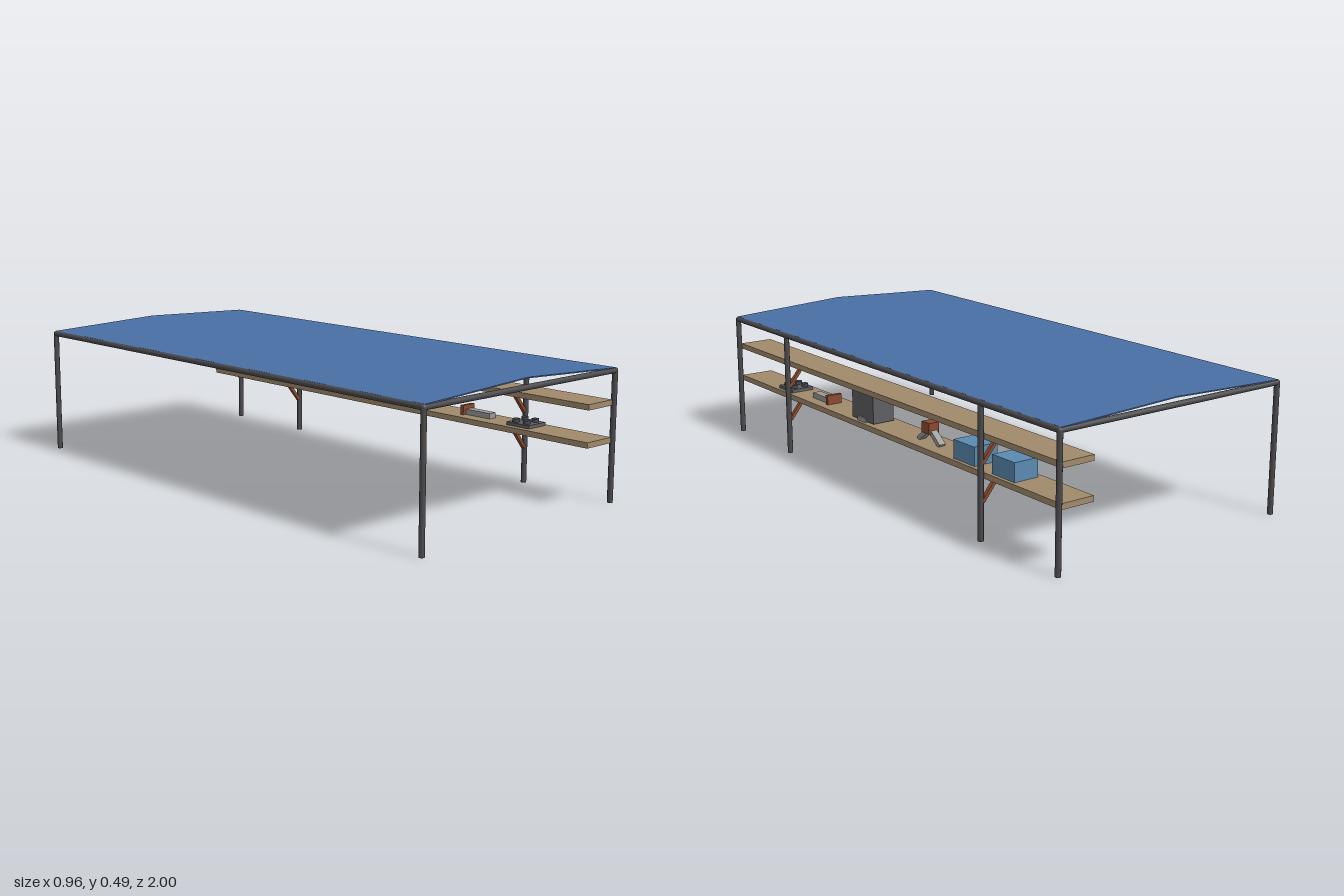
import * as THREE from 'three';

const mat = (name, color, side = THREE.FrontSide) => {
  const m = new THREE.MeshStandardMaterial({ color, side });
  m.name = name;
  return m;
};

export function createModel() {
  const steel = mat('dark steel', 0x4a4a4e);
  const tarp = mat('blue tarp', 0x4a6fa5, THREE.DoubleSide);
  const wood = mat('shelf wood', 0xa08a6c);
  const brown = mat('brown timber', 0x8b4a2f);
  const crateBlue = mat('crate blue', 0x5a8ab0);
  const grey = mat('cabinet grey', 0x5e5e64);
  const light = mat('light metal', 0x999999);

  const root = new THREE.Group();
  root.name = 'marketShelter';

  const add = (name, geo, material, x, y, z, parent = root) => {
    const mesh = new THREE.Mesh(geo, material);
    mesh.name = name;
    mesh.position.set(x, y, z);
    parent.add(mesh);
    return mesh;
  };
  // Box given by its minimum and maximum corners
  const box = (name, material, [x0, y0, z0], [x1, y1, z1], parent = root) =>
    add(name, new THREE.BoxGeometry(x1 - x0, y1 - y0, z1 - z0), material,
      (x0 + x1) / 2, (y0 + y1) / 2, (z0 + z1) / 2, parent);
  const group = (name) => {
    const g = new THREE.Group();
    g.name = name;
    root.add(g);
    return g;
  };

  // Tubular frame
  const R = 0.01, X = 0.468, Z = 0.99, H = 0.46;
  const frame = group('frame');
  const tube = (name, length, x, y, z) =>
    add(name, new THREE.CylinderGeometry(R, R, length, 12), steel, x, y, z, frame);
  for (const sx of [-1, 1]) {
    const rows = sx > 0 ? [-Z, -0.605, 0.61, Z] : [-Z, Z];
    for (const z of rows) tube('post', H, sx * X, H / 2, z);
    tube('sideBeam', 2 * Z, sx * X, H, 0).rotation.x = Math.PI / 2;
    for (const sz of [-1, 1]) {
      add('cornerJoint', new THREE.SphereGeometry(R, 12, 8), steel, sx * X, H, sz * Z, frame);
    }
  }
  for (const sz of [-1, 1]) tube('endBeam', 2 * X, 0, H, sz * Z).rotation.z = Math.PI / 2;

  // Shallow pitched tarp, its ridge falling slightly towards the back
  const roofGeo = new THREE.BoxGeometry(0.935, 0.004, 1.99, 2, 1, 1);
  const p = roofGeo.attributes.position;
  for (let i = 0; i < p.count; i++) {
    const ridge = 1 - Math.abs(p.getX(i)) / 0.4675;
    p.setY(i, p.getY(i) + ridge * (0.0205 + 0.003 * p.getZ(i)));
  }
  roofGeo.computeVertexNormals();
  add('roofTarp', roofGeo, tarp, 0, 0.468, 0);

  // Shelves with diagonal braces at the inner posts
  for (const y of [0.21, 0.34]) {
    box('shelf', wood, [0.33, y, -0.99], [0.459, y + 0.02, 0.99]);
    for (const z of [-0.605, 0.61]) {
      const brace = add('shelfBrace', new THREE.BoxGeometry(0.1, 0.012, 0.014), brown,
        0.431, y - 0.04, z);
      brace.rotation.z = -Math.atan2(0.075, 0.06);
    }
  }

  // Small stove with four burners
  const stove = group('stove');
  box('stoveBody', grey, [0.353, 0.23, 0.62], [0.445, 0.242, 0.72], stove);
  for (const x of [0.375, 0.423]) {
    for (const z of [0.645, 0.692]) {
      add('burner', new THREE.CylinderGeometry(0.013, 0.013, 0.012, 12), steel, x, 0.248, z, stove);
    }
  }

  // Metal tool with an arched brown end
  const tool = group('handTool');
  box('toolBody', light, [0.382, 0.23, 0.4], [0.416, 0.25, 0.515], tool);
  box('toolEnd', brown, [0.368, 0.23, 0.388], [0.428, 0.265, 0.402], tool);

  // Upright cabinet with a small light fitting
  const cabinet = group('cabinet');
  box('cabinetBody', grey, [0.357, 0.234, 0.055], [0.443, 0.34, 0.192], cabinet);
  box('cabinetFitting', light, [0.425, 0.23, 0.1], [0.448, 0.246, 0.152], cabinet);

  // Splayed tool with a brown block on two light legs
  const splayed = group('splayedTool');
  box('toolBlock', brown, [0.38, 0.264, -0.254], [0.42, 0.303, -0.21], splayed);
  for (const s of [-1, 1]) {
    const leg = add('toolLeg', new THREE.BoxGeometry(0.025, 0.016, 0.07), light,
      0.4, 0.253, -0.237 + s * 0.034, splayed);
    leg.rotation.x = s * 0.65;
  }

  // Storage crates
  for (const z of [-0.485, -0.693]) {
    box('crate', crateBlue, [0.352, 0.23, z - 0.057], [0.446, 0.295, z + 0.057]);
  }

  return root;
}
